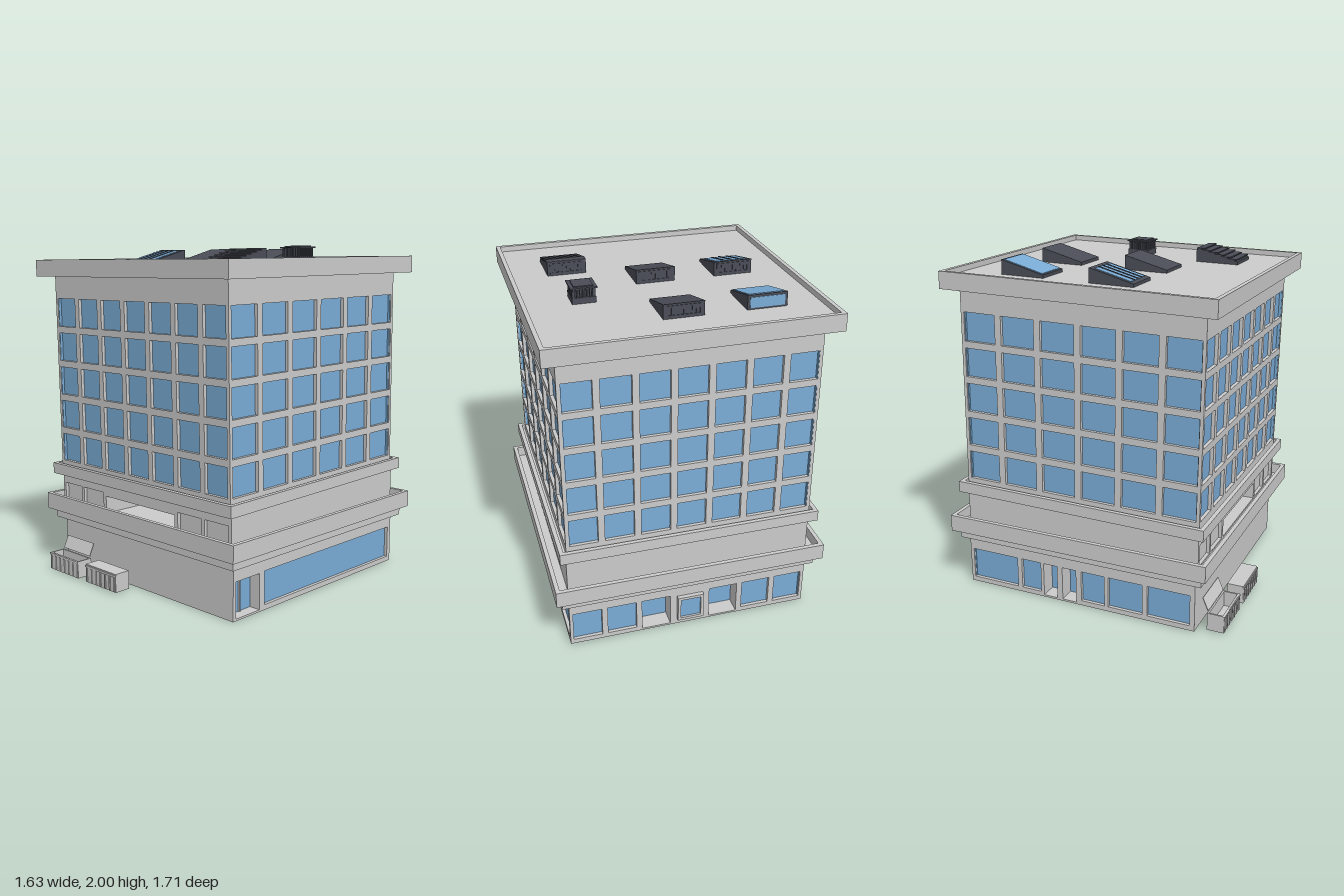
import * as THREE from 'three';

const mat = (color) => new THREE.MeshStandardMaterial({ color, flatShading: true });
const WALL = mat(0xcccccc), GLASS = mat(0x7aacd6), DARK = mat(0x4a4d57);
const RECESS = 0.02;

function add(parent, name, geo, material, x = 0, y = 0, z = 0) {
  const m = new THREE.Mesh(geo, material);
  m.name = name;
  m.position.set(x, y, z);
  parent.add(m);
  return m;
}
const box = (parent, name, w, h, d, x, y, z, material = WALL) =>
  add(parent, name, new THREE.BoxGeometry(w, h, d), material, x, y, z);

const corners = (x0, x1, y0, y1) =>
  [[x0, y0], [x1, y0], [x1, y1], [x0, y1]].map(([x, y]) => new THREE.Vector2(x, y));

// Flat rectangle with rectangular holes, extruded towards +z
function plate(x0, x1, y0, y1, holes, depth) {
  const s = new THREE.Shape(corners(x0, x1, y0, y1));
  for (const h of holes) s.holes.push(new THREE.Path(corners(h.x0, h.x1, h.y0, h.y1).reverse()));
  return new THREE.ExtrudeGeometry(s, { depth, bevelEnabled: false });
}

// Wall with recessed panes; local +z is the outer side, the outer face lies at z = 0
function facade(parent, name, w, y0, y1, holes, dist, angle, cz) {
  const g = new THREE.Group();
  g.name = name;
  g.position.set(Math.sin(angle) * dist, 0, cz + Math.cos(angle) * dist);
  g.rotation.y = angle;
  parent.add(g);
  add(g, name + 'Wall', plate(-w / 2, w / 2, y0, y1, holes, RECESS), WALL, 0, 0, -RECESS);
  for (const h of holes) {
    const d = h.depth ?? RECESS, e = 0.008;
    box(g, 'pane', h.x1 - h.x0 + 2 * e, h.y1 - h.y0 + 2 * e, 0.004,
      (h.x0 + h.x1) / 2, (h.y0 + h.y1) / 2, -d - 0.002, h.material ?? GLASS);
    // Deep openings get their own reveal
    if (d > RECESS) add(g, 'reveal',
      plate(h.x0 - e, h.x1 + e, h.y0 - e, h.y1 + e, [h], d - RECESS), WALL, 0, 0, -d);
  }
  return g;
}

// Evenly spaced row of openings
const row = (n, pitch, w, y0, y1) => Array.from({ length: n }, (_, i) => {
  const c = (i - (n - 1) / 2) * pitch;
  return { x0: c - w / 2, x1: c + w / 2, y0, y1 };
});

// Projecting tray: solid slab with a raised rim
function tray(parent, name, w, d, y0, y1, floorY, cz, rim = 0.025) {
  const hole = { x0: -w / 2 + rim, x1: w / 2 - rim, y0: -d / 2 + rim, y1: d / 2 - rim };
  const ring = add(parent, name + 'Rim', plate(-w / 2, w / 2, -d / 2, d / 2, [hole], y1 - y0), WALL, 0, y0, cz);
  ring.rotation.x = -Math.PI / 2;
  box(parent, name + 'Floor', w - 2 * rim, floorY - y0, d - 2 * rim, 0, (floorY + y0) / 2, cz);
}

function groundFloor(root) {
  const W = 1.465, D = 1.47, cz = -0.045, top = 0.31;
  facade(root, 'groundFront', W, 0, top, [], D / 2, 0, cz);

  // Right side: double door and a long shop window
  const right = facade(root, 'groundRight', D, 0, top, [
    { x0: -0.712, x1: -0.525, y0: 0.012, y1: 0.22, depth: 0.07 },
    { x0: -0.485, x1: 0.705, y0: 0.03, y1: 0.225 },
  ], W / 2, Math.PI / 2, cz);
  box(right, 'doorMullion', 0.008, 0.208, 0.01, -0.618, 0.116, -0.066);

  // Back: seven bays, two deep doorways beside a projecting centre window
  const bays = row(7, 0.209, 0.175, 0.03, 0.22);
  for (const i of [2, 4]) Object.assign(bays[i], { y0: 0.012, depth: 0.1 });
  bays.splice(3, 1);
  const back = facade(root, 'groundBack', W, 0, top, bays, D / 2, Math.PI, cz);
  add(back, 'bayWindowFrame', plate(-0.08, 0.08, 0.04, 0.21,
    [{ x0: -0.062, x1: 0.062, y0: 0.058, y1: 0.192 }], 0.025), WALL);
  box(back, 'bayWindowPane', 0.125, 0.135, 0.012, 0, 0.125, 0.006, GLASS);

  // Left side: shop windows around two narrow doorways
  facade(root, 'groundLeft', D, 0, top, [
    [-0.713, -0.405], [-0.375, -0.245], [-0.225, -0.135, 0.1], [-0.1, -0.01, 0.1],
    [0.025, 0.175], [0.2, 0.415], [0.445, 0.705],
  ].map(([x0, x1, depth]) => ({ x0, x1, y0: depth ? 0.012 : 0.03, y1: 0.22, depth })), W / 2, -Math.PI / 2, cz);

  box(root, 'groundSlab', W - 0.01, 0.008, D - 0.01, 0, 0.004, cz);
  box(root, 'lowerLedge', 1.545, 0.055, 1.554, 0.002, 0.3325, -0.04);
  tray(root, 'terrace', 1.625, 1.63, 0.36, 0.46, 0.395, -0.04);
}

function terraceFloor(root) {
  const W = 1.465, D = 1.475, cz = -0.033, y0 = 0.39, y1 = 0.62;
  const shallow = [[-0.712, -0.545], [-0.525, -0.335], [0.32, 0.505], [0.53, 0.712]]
    .map(([x0, x1]) => ({ x0, x1, y0: 0.405, y1: 0.53, material: WALL }));
  const front = facade(root, 'terraceFront', W, y0, y1,
    [...shallow, { x0: -0.31, x1: 0.295, y0: 0.405, y1: 0.51, depth: 0.3, material: WALL }], D / 2, 0, cz);
  // Louvred unit at the back of the deep opening
  box(front, 'ventUnit', 0.23, 0.1, 0.04, 0, 0.457, -0.28, DARK);
  for (let i = 0; i < 4; i++) box(front, 'ventSlat', 0.2, 0.008, 0.01, 0, 0.425 + i * 0.022, -0.257, DARK);
  facade(root, 'terraceRight', D, y0, y1, [], W / 2, Math.PI / 2, cz);
  facade(root, 'terraceBack', W, y0, y1, [], D / 2, Math.PI, cz);
  facade(root, 'terraceLeft', D, y0, y1, [], W / 2, -Math.PI / 2, cz);
}

// Sloped roof housing, high towards the back
function roofWedge(parent, name, x, z, style) {
  const g = new THREE.Group();
  g.name = name;
  g.position.set(x, 1.9, z);
  parent.add(g);
  const w = 0.23, d = 0.265, lo = 0.018, hi = 0.084, slope = Math.atan((hi - lo) / d);
  const pts = [[-d / 2, 0], [d / 2, 0], [d / 2, lo], [-d / 2, hi]].map((p) => new THREE.Vector2(...p));
  const geo = new THREE.ExtrudeGeometry(new THREE.Shape(pts), { depth: w, bevelEnabled: false });
  add(g, 'housing', geo.translate(0, 0, -w / 2).rotateY(-Math.PI / 2), DARK);
  const lid = new THREE.Group();
  lid.position.y = (hi + lo) / 2;
  lid.rotation.x = slope;
  g.add(lid);
  if (style === 'glass') {
    box(lid, 'skylight', 0.21, 0.006, 0.25, 0, 0.001, 0, GLASS);
    box(g, 'rearPane', 0.2, 0.06, 0.004, 0, 0.04, -d / 2 - 0.001, GLASS);
  } else if (style === 'barred') {
    box(lid, 'skylight', 0.19, 0.006, 0.22, 0, 0, 0, GLASS);
    for (let i = -1; i <= 1; i++) box(lid, 'glazingBar', 0.009, 0.012, 0.22, i * 0.047, 0.001, 0, DARK);
  } else if (style === 'louvre') {
    for (let i = 0; i < 6; i++) {
      const slat = box(lid, 'louvre', 0.23, 0.007, 0.045, 0, 0.004, -0.108 + i * 0.043, DARK);
      slat.rotation.x = -slope;
    }
  }
  // Framed grille on the rear face
  if (style !== 'glass') {
    add(g, 'rearFrame', plate(-0.1, 0.1, 0.01, 0.074,
      [{ x0: -0.088, x1: 0.088, y0: 0.02, y1: 0.064 }], 0.004), DARK, 0, 0, -d / 2 - 0.004);
    for (let i = -3; i <= 3; i++) box(g, 'rearBar', 0.006, 0.046, 0.003, i * 0.023, 0.042, -d / 2 - 0.0015, DARK);
  }
}

// Square vent with louvred sides under a stepped cap
function roofVent(parent, x, z) {
  const g = new THREE.Group();
  g.name = 'roofVent';
  g.position.set(x, 1.9, z);
  parent.add(g);
  box(g, 'ventBase', 0.135, 0.035, 0.135, 0, 0.0175, 0, DARK);
  box(g, 'ventCore', 0.1, 0.06, 0.1, 0, 0.06, 0, DARK);
  for (let side = 0; side < 4; side++) {
    const s = new THREE.Group();
    s.rotation.y = side * Math.PI / 2;
    g.add(s);
    for (let i = -3; i <= 3; i++) box(s, 'ventFin', 0.009, 0.052, 0.018, i * 0.0185, 0.06, 0.057, DARK);
  }
  box(g, 'ventCap', 0.15, 0.008, 0.145, 0, 0.088, 0, DARK);
  box(g, 'ventCapTop', 0.11, 0.008, 0.11, 0, 0.094, 0, DARK);
}

// Upper storeys, leaning very slightly forward
function tower(root) {
  const t = new THREE.Group();
  t.name = 'tower';
  t.position.set(-0.005, 0, -0.038);
  t.rotation.x = 0.0155;
  root.add(t);
  const W = 1.465, D = 1.47;
  tray(t, 'band', 1.55, 1.55, 0.6, 0.667, 0.635, 0);
  const grid = (n, pitch, w) => [0, 1, 2, 3, 4].flatMap((r) => row(n, pitch, w, 0.687 + 0.21 * r, 0.857 + 0.21 * r));
  const wide = grid(7, 0.2105, 0.172), deep = grid(6, 0.248, 0.208);
  facade(t, 'towerFront', W, 0.62, 1.84, wide, D / 2, 0, 0);
  facade(t, 'towerRight', D, 0.62, 1.84, deep, W / 2, Math.PI / 2, 0);
  facade(t, 'towerBack', W, 0.62, 1.84, wide, D / 2, Math.PI, 0);
  facade(t, 'towerLeft', D, 0.62, 1.84, deep, W / 2, -Math.PI / 2, 0);
  tray(t, 'cornice', 1.625, 1.63, 1.832, 1.932, 1.9, 0);
  roofWedge(t, 'glassSkylight', -0.47, -0.417, 'glass');
  roofWedge(t, 'barredSkylight', -0.47, 0.13, 'barred');
  roofWedge(t, 'rearHatch', 0, -0.417, 'plain');
  roofWedge(t, 'frontHatch', 0, 0.13, 'plain');
  roofWedge(t, 'louvreHousing', 0.465, 0.404, 'louvre');
  roofVent(t, 0.463, -0.14);
}

// Waste container with ribbed front, lid either closed or leaning open
function wasteBin(root, x, open) {
  const g = new THREE.Group();
  g.name = open ? 'openBin' : 'closedBin';
  g.position.set(x, 0.005, 0.8);
  root.add(g);
  const w = 0.28, d = 0.1;
  const hole = { x0: -w / 2 + 0.01, x1: w / 2 - 0.01, y0: -d / 2 + 0.01, y1: d / 2 - 0.01 };
  add(g, 'binShell', plate(-w / 2, w / 2, -d / 2, d / 2, [hole], 0.105), WALL).rotation.x = -Math.PI / 2;
  box(g, 'binFloor', w - 0.01, 0.012, d - 0.01, 0, 0.006, 0);
  for (let i = -3; i <= 3; i++) box(g, 'binRib', 0.01, 0.085, 0.006, i * 0.043, 0.047, d / 2 + 0.002);
  box(g, 'binLip', w + 0.006, 0.012, 0.01, 0, 0.098, d / 2);
  const lid = open
    ? box(g, 'binLid', 0.26, 0.082, 0.005, 0, 0.152, -0.065)
    : box(g, 'binLid', w, 0.008, d, 0, 0.107, 0);
  if (open) lid.rotation.x = -0.42;
}

export function createModel() {
  const root = new THREE.Group();
  root.name = 'officeBuilding';
  groundFloor(root);
  terraceFloor(root);
  tower(root);
  wasteBin(root, -0.552, true);
  wasteBin(root, -0.195, false);
  return root;
}
